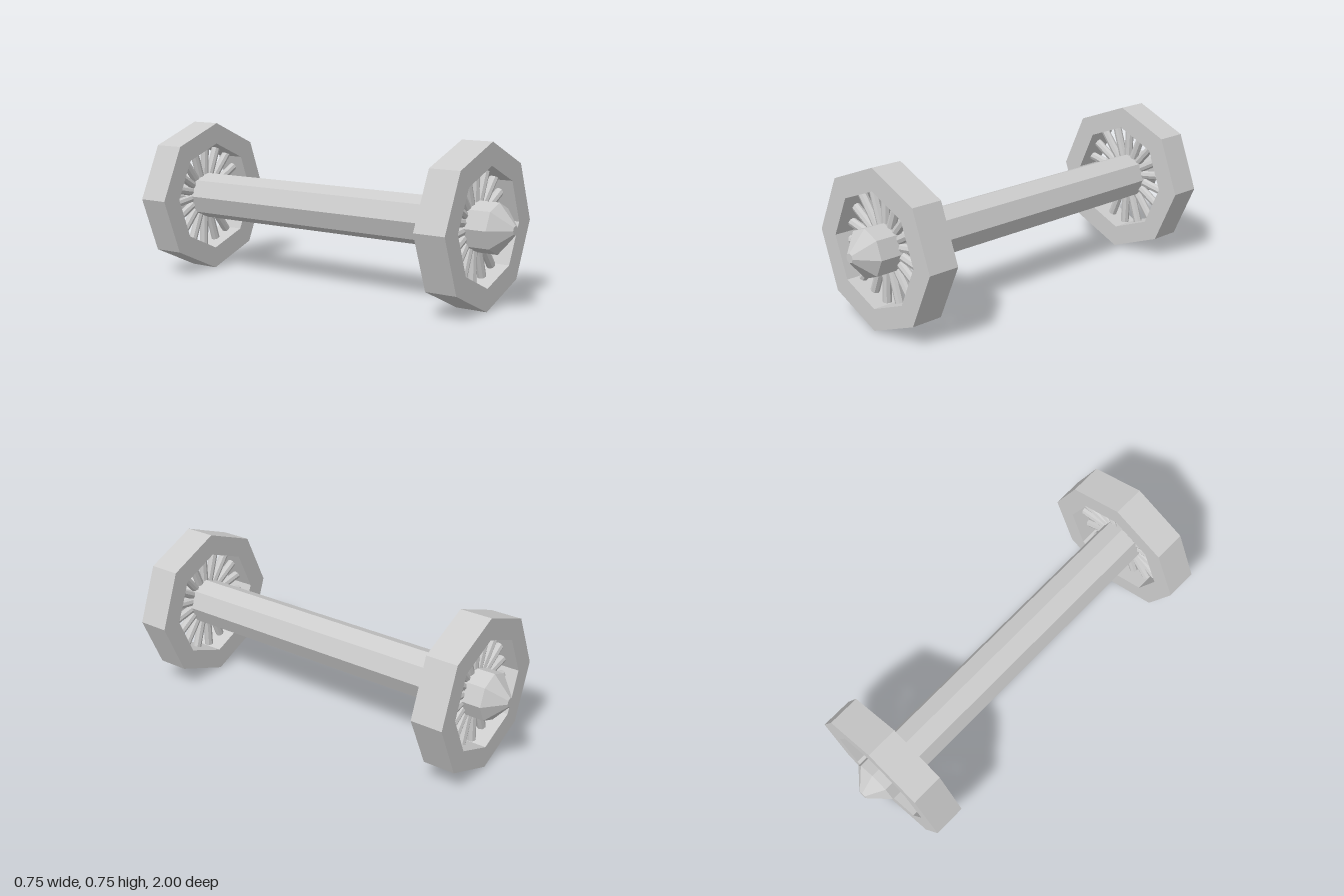
import * as THREE from 'three';

const SIDES = 8, TWIST = -0.033, CENTER_Y = 0.377;
const material = new THREE.MeshStandardMaterial({ color: 0xcccccc, flatShading: true });

function part(name, geometry, parent) {
  const mesh = new THREE.Mesh(geometry, material);
  mesh.name = name;
  parent.add(mesh);
  return mesh;
}

// Corners of an octagon with one corner at the top
function octagon(radius) {
  return Array.from({ length: SIDES }, (_, i) => {
    const a = Math.PI / 2 + (i / SIDES) * Math.PI * 2;
    return new THREE.Vector2(Math.cos(a) * radius, Math.sin(a) * radius);
  });
}

function createWheel(name, z) {
  const wheel = new THREE.Group();
  wheel.name = name;
  wheel.position.z = z;

  // Octagonal rim
  const depth = 0.155;
  const shape = new THREE.Shape(octagon(0.376));
  shape.holes.push(new THREE.Path(octagon(0.271).reverse()));
  const rim = new THREE.ExtrudeGeometry(shape, { depth, bevelEnabled: false });
  rim.translate(0, 0, -depth / 2);
  part('rim', rim, wheel);

  // Spokes, very slightly off the wheel's centre
  const spokes = new THREE.Group();
  spokes.name = 'spokes';
  spokes.position.set(-0.005, 0.006, 0);
  wheel.add(spokes);
  const spoke = new THREE.CylinderGeometry(0.021, 0.021, 0.225, SIDES);
  spoke.translate(0, 0.1525, 0);
  const count = 18;
  for (let i = 0; i < count; i++) {
    part('spoke', spoke, spokes).rotation.z = (i / count) * Math.PI * 2;
  }
  return wheel;
}

export function createModel() {
  const model = new THREE.Group();
  model.name = 'wheelset';
  const assembly = new THREE.Group();
  assembly.name = 'axleAndWheels';
  assembly.position.y = CENTER_Y;
  assembly.rotation.z = TWIST;
  model.add(assembly);

  // Axle with tapered hub caps at both ends
  const profile = [[0, -1], [0.022, -1], [0.115, -0.918], [0.115, 0.918], [0.022, 1], [0, 1]]
    .map(([r, y]) => new THREE.Vector2(r, y));
  const axle = new THREE.LatheGeometry(profile, SIDES);
  axle.rotateX(Math.PI / 2);
  part('axle', axle, assembly);

  assembly.add(createWheel('frontWheel', 0.797), createWheel('backWheel', -0.812));
  return model;
}
